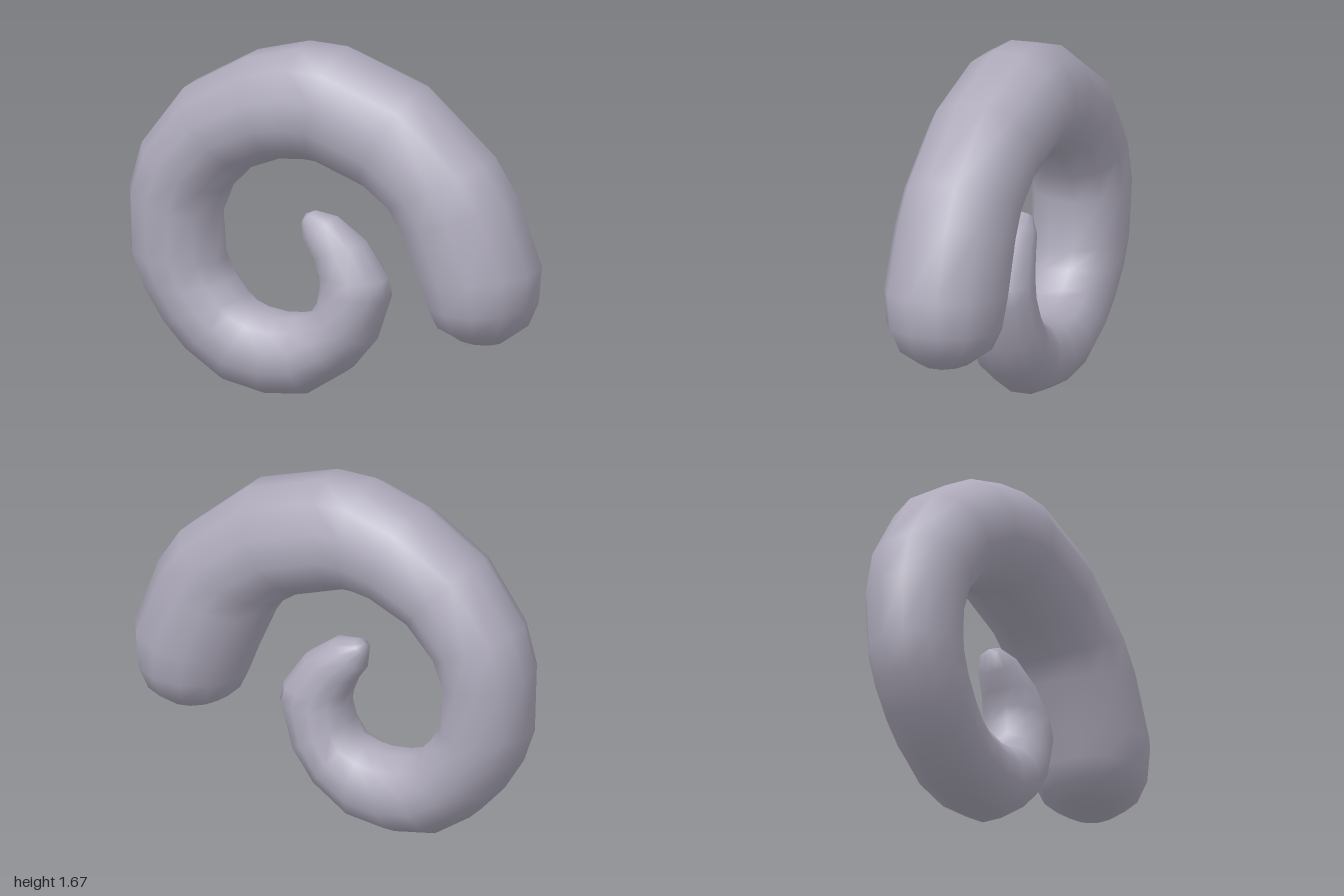
import * as THREE from 'three';

// Cross-sections along the spiral: outer x, outer y, inner x, inner y, half depth
const SECTIONS = [
  [0.84, 0.405, 0.60, 0.43, 0.12],
  [0.94, 0.48, 0.53, 0.48, 0.21],
  [0.985, 0.59, 0.49, 0.57, 0.255],
  [1.0, 0.76, 0.44, 0.70, 0.272],
  [0.88, 1.08, 0.35, 0.90, 0.265],
  [0.77, 1.25, 0.29, 0.99, 0.26],
  [0.43, 1.54, 0.17, 1.07, 0.258],
  [0.03, 1.67, -0.07, 1.15, 0.255],
  [-0.16, 1.67, -0.13, 1.15, 0.252],
  [-0.42, 1.59, -0.25, 1.135, 0.25],
  [-0.73, 1.40, -0.42, 1.06, 0.24],
  [-0.94, 1.11, -0.54, 0.93, 0.23],
  [-1.0, 0.90, -0.59, 0.80, 0.225],
  [-0.995, 0.61, -0.57, 0.58, 0.215],
  [-0.94, 0.45, -0.52, 0.50, 0.21],
  [-0.84, 0.29, -0.46, 0.43, 0.205],
  [-0.72, 0.16, -0.42, 0.40, 0.20],
  [-0.54, 0.04, -0.36, 0.38, 0.195],
  [-0.33, 0.003, -0.26, 0.37, 0.19],
  [-0.12, 0.03, -0.18, 0.38, 0.185],
  [0.07, 0.16, -0.11, 0.40, 0.18],
  [0.19, 0.31, -0.07, 0.47, 0.17],
  [0.265, 0.53, -0.06, 0.55, 0.155],
  [0.25, 0.61, -0.07, 0.61, 0.145],
  [0.14, 0.77, -0.10, 0.68, 0.12],
  [0.0, 0.87, -0.15, 0.75, 0.09],
  [-0.11, 0.885, -0.16, 0.83, 0.05],
];
const SIDES = 12;

function spiralGeometry() {
  const positions = [], index = [];
  const flat = 1 / Math.cos(Math.PI / SIDES); // flats, not corners, meet the outline
  for (const [ox, oy, ix, iy, depth] of SECTIONS) {
    for (let j = 0; j < SIDES; j++) {
      const a = ((j + 0.5) / SIDES) * Math.PI * 2;
      const c = Math.cos(a) * flat / 2, s = Math.sin(a) * flat;
      positions.push((ox + ix) / 2 + (ox - ix) * c, (oy + iy) / 2 + (oy - iy) * c, depth * s);
    }
  }
  // Skin between neighbouring rings
  const last = SECTIONS.length - 1;
  for (let i = 0; i < last; i++) {
    for (let j = 0; j < SIDES; j++) {
      const k = (j + 1) % SIDES;
      const a = i * SIDES + j, b = i * SIDES + k;
      index.push(a, a + SIDES, b, b, a + SIDES, b + SIDES);
    }
  }
  // Blunt end and thin tip
  const start = positions.length / 3, end = start + 1;
  positions.push(0.71, 0.39, 0, -0.148, 0.868, 0);
  for (let j = 0; j < SIDES; j++) {
    const k = (j + 1) % SIDES;
    index.push(start, j, k, end, last * SIDES + k, last * SIDES + j);
  }
  const geometry = new THREE.BufferGeometry();
  geometry.setAttribute('position', new THREE.Float32BufferAttribute(positions, 3));
  geometry.setIndex(index);
  geometry.computeVertexNormals();
  return geometry;
}

export function createModel() {
  const group = new THREE.Group();
  group.name = 'spiralHorn';
  const material = new THREE.MeshStandardMaterial({ color: 0xaeaabb });
  material.name = 'lavender grey';
  const curl = new THREE.Mesh(spiralGeometry(), material);
  curl.name = 'curl';
  group.add(curl);
  return group;
}
